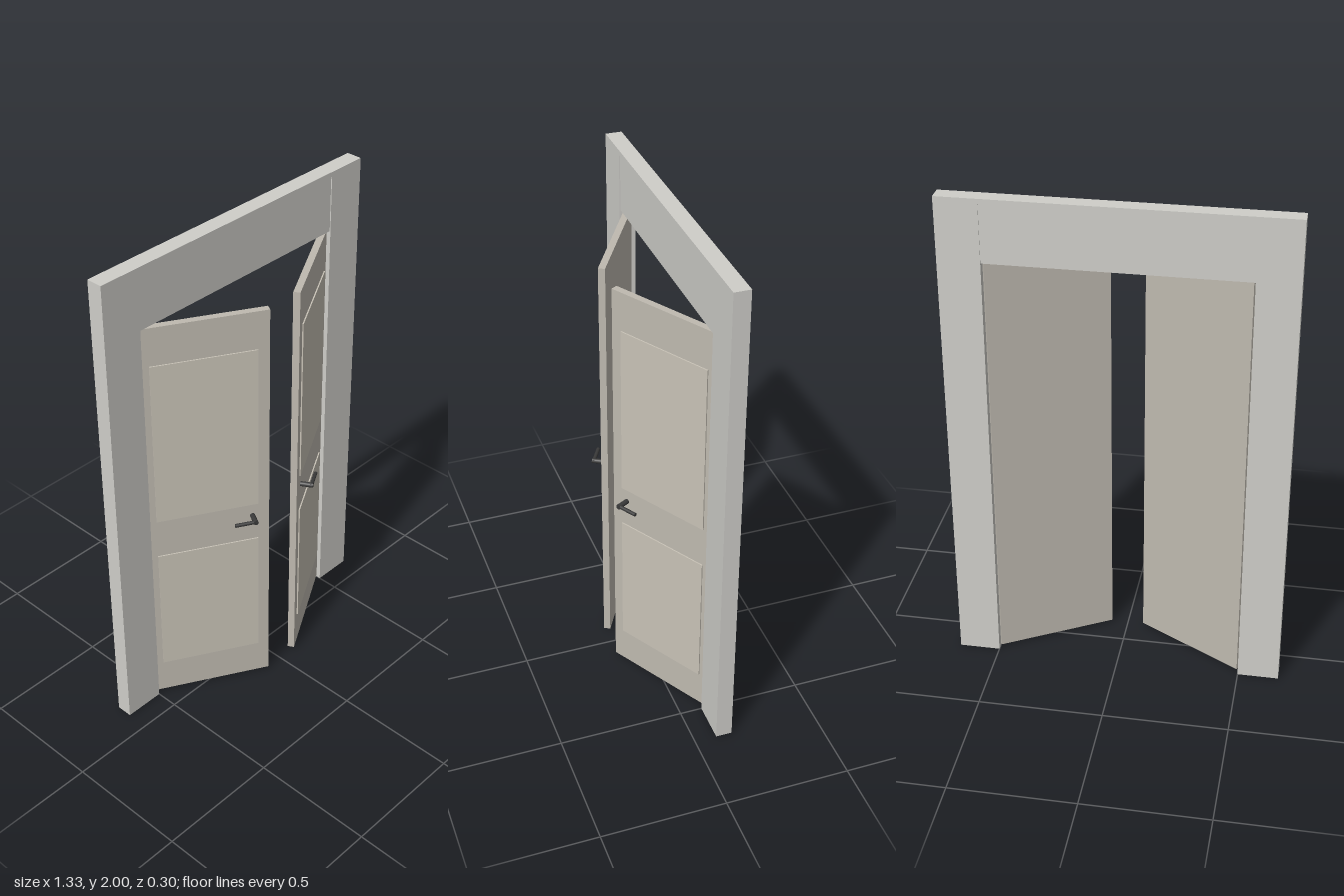
import * as THREE from 'three';

const mat = (color) => new THREE.MeshStandardMaterial({ color });

export function createModel() {
  const model = new THREE.Group();
  const frameMat = mat(0xcfcec9);
  const doorMat = mat(0xbfbab0);
  const panelMat = mat(0xc9c3b7);
  const metalMat = mat(0x3a3a3a);

  // box given by its min and max corners
  const box = (parent, name, material, [x0, y0, z0], [x1, y1, z1]) => {
    const mesh = new THREE.Mesh(new THREE.BoxGeometry(Math.abs(x1 - x0), y1 - y0, z1 - z0), material);
    mesh.position.set((x0 + x1) / 2, (y0 + y1) / 2, (z0 + z1) / 2);
    mesh.name = name;
    parent.add(mesh);
    return mesh;
  };

  // door frame: lintel slightly set back between the jambs, cap strip on top
  const frame = new THREE.Group();
  frame.name = 'doorFrame';
  model.add(frame);
  box(frame, 'lintel', frameMat, [-0.5, 1.75, -0.151], [0.5, 1.98, -0.093]);
  box(frame, 'capStrip', frameMat, [-0.665, 1.98, -0.154], [0.665, 2, -0.089]);

  for (const s of [-1, 1]) {
    const side = s > 0 ? 'left' : 'right';
    box(frame, side + 'Jamb', frameMat, [s * 0.5, 0, -0.154], [s * 0.665, 1.98, -0.089]);

    // door leaf, pivoted on its hinge edge and swung 30 degrees forward
    const door = new THREE.Group();
    door.name = side + 'Door';
    door.position.set(s * 0.507, 0, -0.112);
    door.rotation.y = s * Math.PI / 6;
    model.add(door);
    const w = 0.493;
    box(door, 'leaf', doorMat, [0, 0.01, -0.027], [-s * w, 1.748, 0]);

    // raised front panels
    for (const [y0, y1] of [[0.16, 0.72], [0.89, 1.59]]) {
      box(door, 'raisedPanel', panelMat, [-s * 0.045, y0, -0.002], [-s * (w - 0.045), y1, 0.005]);
    }

    // lever handle
    const handle = new THREE.Group();
    handle.name = 'handle';
    handle.position.set(-s * 0.425, 0.835, 0);
    door.add(handle);
    const stem = new THREE.Mesh(new THREE.CylinderGeometry(0.01, 0.01, 0.052, 16), metalMat);
    stem.name = 'handleStem';
    stem.rotation.x = Math.PI / 2;
    stem.position.z = 0.026;
    handle.add(stem);
    const lever = new THREE.Mesh(new THREE.CylinderGeometry(0.0075, 0.0075, 0.09, 16), metalMat);
    lever.name = 'handleLever';
    lever.rotation.z = Math.PI / 2;
    lever.position.set(s * 0.037, 0, 0.045);
    handle.add(lever);
  }
  return model;
}
